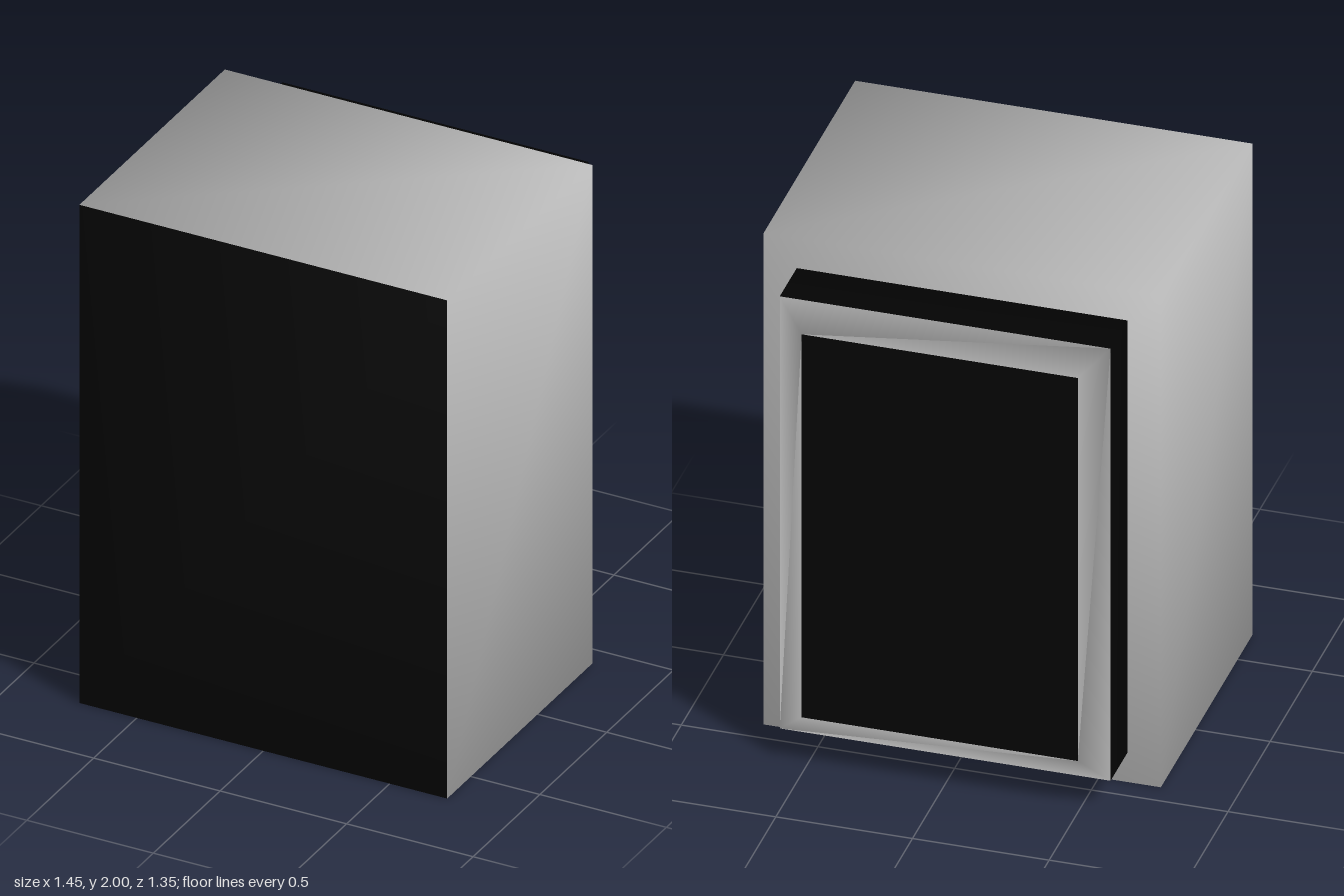
import * as THREE from 'three';
import { mergeVertices } from 'three/addons/utils/BufferGeometryUtils.js';

const grey = new THREE.MeshStandardMaterial({ color: 0xcccccc });
const black = new THREE.MeshStandardMaterial({ color: 0x050505 });

// Box faces in order: +x, -x, +y, -y, +z, -z
const SIDES = [0, 1, 2, 3], FRONT = [4], BACK = [5];

// Box with softly shared corner normals; its back rim can be inset to make a bevel
function softBox(w, h, zFront, zBack, inset = 0) {
  let geo = new THREE.BoxGeometry(w, h, zFront - zBack);
  geo.translate(0, 1, (zFront + zBack) / 2);
  const p = geo.attributes.position;
  const middle = (zFront + zBack) / 2;
  for (let i = 0; i < p.count; i++) {
    if (p.getZ(i) > middle) continue;
    p.setX(i, p.getX(i) - Math.sign(p.getX(i)) * inset);
    p.setY(i, p.getY(i) - Math.sign(p.getY(i) - 1) * inset);
  }
  geo.deleteAttribute('normal');
  geo.deleteAttribute('uv');
  geo = mergeVertices(geo);
  geo.computeVertexNormals();
  return geo;
}

// Mesh using only some faces of a box, so neighbouring parts never overlap
function part(name, box, faces, material) {
  const geo = box.clone();
  const index = Array.from(box.index.array);
  geo.clearGroups();
  geo.setIndex(faces.flatMap((f) => index.slice(f * 6, f * 6 + 6)));
  const mesh = new THREE.Mesh(geo, material);
  mesh.name = name;
  return mesh;
}

export function createModel() {
  const model = new THREE.Group();
  model.name = 'cabinet';

  const body = softBox(1.454, 2, 0.677, -0.411);
  const block = softBox(1.21, 1.76, -0.411, -0.612);
  const bevel = softBox(1.21, 1.76, -0.612, -0.677, 0.1);

  model.add(
    // Main case and its dark front
    part('caseShell', body, [...SIDES, ...BACK], grey),
    part('frontPanel', body, FRONT, black),
    // Raised rear housing with bevelled rim
    part('rearHousing', block, SIDES, black),
    part('rearBevel', bevel, SIDES, grey),
    part('rearPanel', bevel, BACK, black)
  );
  return model;
}
